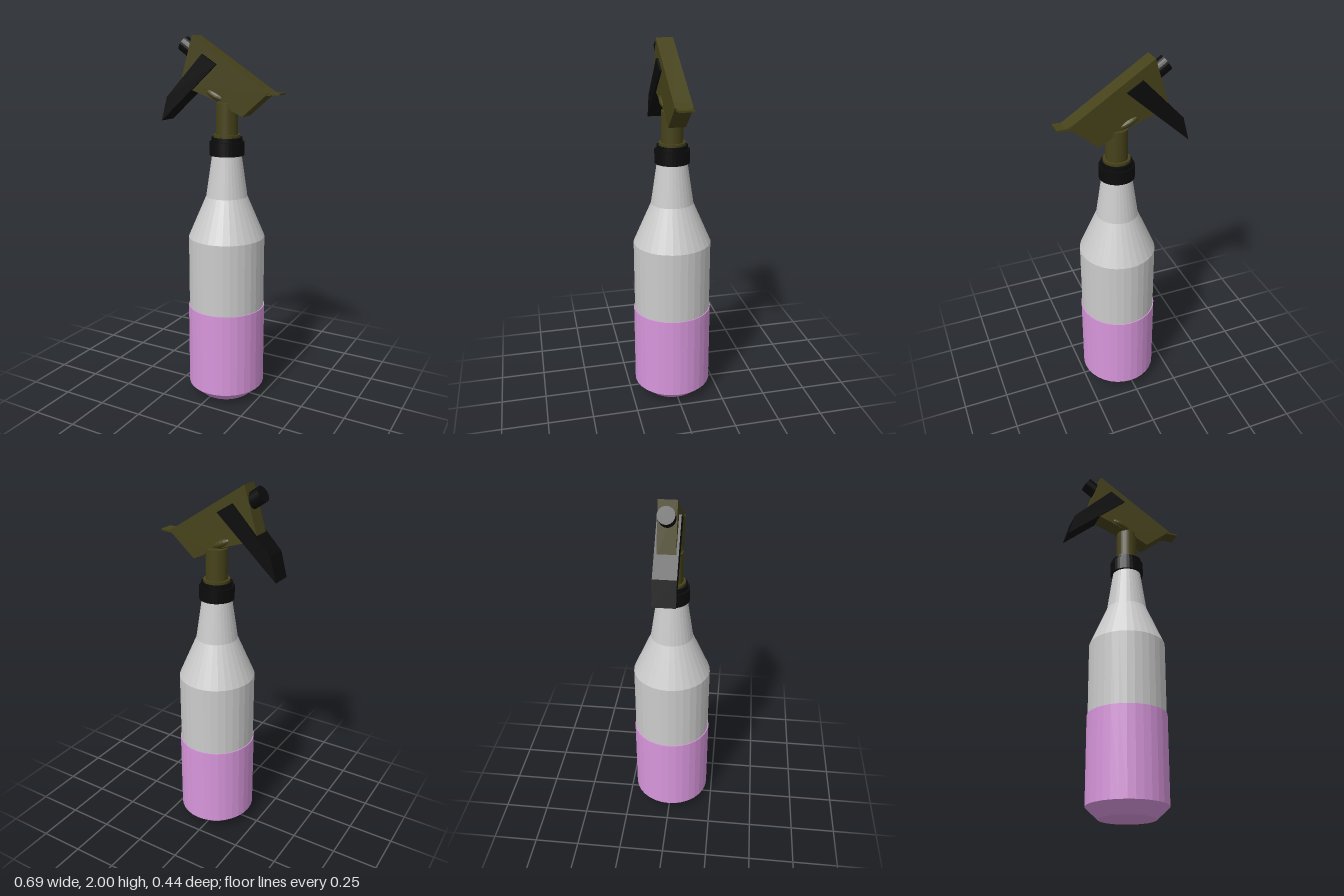
import * as THREE from 'three';

const mat = (color) => new THREE.MeshStandardMaterial({ color, flatShading: true, side: THREE.DoubleSide });
const CX = 0.027; // axis of the bottle

export function createModel() {
  const root = new THREE.Group();
  const grey = mat(0xcccccc), pink = mat(0xd896dc), olive = mat(0x46421a), black = mat(0x0b0b0b);

  const add = (name, geometry, material) => {
    const mesh = new THREE.Mesh(geometry, material);
    mesh.name = name;
    root.add(mesh);
    return mesh;
  };
  // Turned part on the bottle axis, profile as [radius, height]
  const turned = (name, profile, material) => {
    const mesh = add(name, new THREE.LatheGeometry(profile.map(([r, y]) => new THREE.Vector2(r, y)), 32), material);
    mesh.position.x = CX;
    return mesh;
  };
  // Side outline in x and y, extruded evenly about z = 0
  const slab = (name, outline, halfWidth, material) => {
    const shape = new THREE.Shape(outline.map(([x, y]) => new THREE.Vector2(x, y)));
    const geometry = new THREE.ExtrudeGeometry(shape, { depth: halfWidth * 2, bevelEnabled: false, curveSegments: 6 });
    return add(name, geometry.translate(0, 0, -halfWidth), material);
  };

  // Bottle with sloping shoulder, and the slightly larger liquid section
  const bottle = turned('bottle', [[0, 0.03], [0.145, 0.03], [0.213, 0.09], [0.213, 0.93], [0.115, 1.155], [0.08, 1.39], [0, 1.39]], grey);
  const liquid = turned('liquid', [[0, 0], [0.15, 0], [0.218, 0.06], [0.218, 0.53], [0, 0.53]], pink);
  bottle.scale.x = liquid.scale.x = 0.975;

  // Screw collar and neck
  turned('collar', [[0, 1.38], [0.094, 1.38], [0.094, 1.452], [0.083, 1.452], [0.083, 1.475], [0, 1.475]], black);
  turned('neck', [[0, 1.46], [0.072, 1.46], [0.072, 1.49], [0.058, 1.49], [0.058, 1.655], [0, 1.67]], olive);

  // Spray head
  slab('sprayHead', [[-0.156, 2], [0.288, 1.717], [0.14, 1.59], [0.08, 1.617], [0.05, 1.645], [-0.235, 1.743]], 0.046, olive);
  slab('rearTab', [[0.25, 1.741], [0.3, 1.715], [0.345, 1.716], [0.345, 1.707], [0.3, 1.705], [0.26, 1.7]], 0.04, olive);

  // Rounded swelling where the neck enters the head
  const swelling = add('neckSwelling', new THREE.SphereGeometry(1, 24, 12), olive);
  swelling.scale.set(0.085, 0.03, 0.058);
  swelling.position.set(-0.025, 1.693, 0);
  swelling.rotation.z = -0.45;

  // Nozzle pointing up and forward along the head
  const axis = new THREE.Vector3(0.83, -0.56, 0).normalize();
  const nozzle = add('nozzle', new THREE.CylinderGeometry(0.042, 0.042, 0.11, 24), black);
  nozzle.quaternion.setFromUnitVectors(new THREE.Vector3(0, 1, 0), axis);
  nozzle.position.set(-0.233, 1.957, 0).addScaledVector(axis, 0.055);

  // Trigger lever
  slab('trigger', [[-0.093, 1.904], [-0.008, 1.852], [-0.347, 1.548], [-0.312, 1.677]], 0.058, black);

  return root;
}
